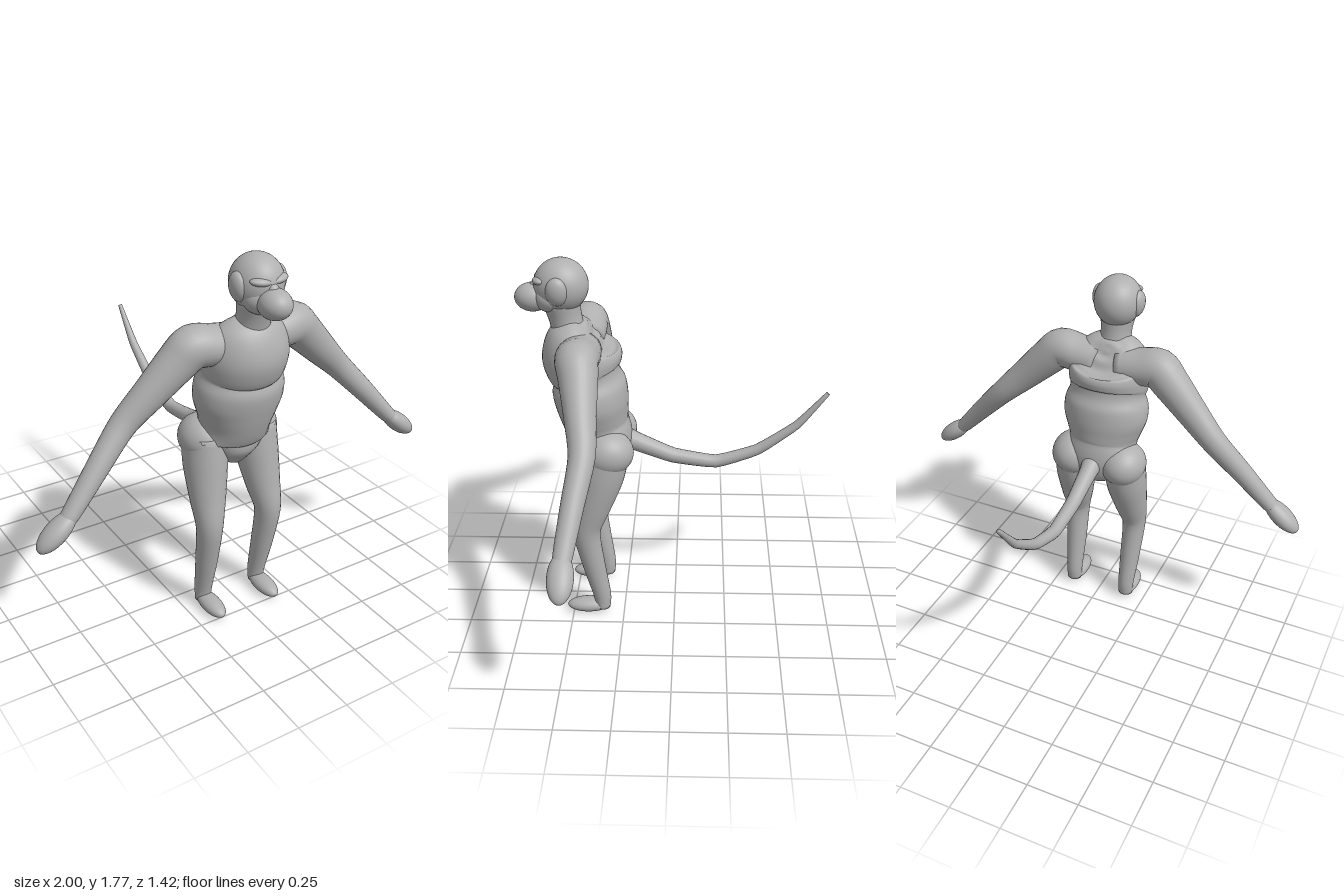
import * as THREE from 'three';

const grey = new THREE.MeshStandardMaterial({ color: 0xb0b0b0 });
grey.name = 'plain grey';

// Smooth skin through sections [x, y, z, ra, rb]; ra lies along ref, rb across it.
function loft(name, sections, ref, steps = 4, sides = 28, tension = 0.5) {
  const curve = (f) => new THREE.CatmullRomCurve3(sections.map(f), false, 'catmullrom', tension);
  const centres = curve((s) => new THREE.Vector3(s[0], s[1], s[2]));
  const radii = curve((s) => new THREE.Vector3(s[3], s[4] ?? s[3], 0));
  const rings = (sections.length - 1) * steps;
  const pos = [], index = [];
  for (let i = 0; i <= rings; i++) {
    const p = centres.getPoint(i / rings), r = radii.getPoint(i / rings);
    const t = centres.getPoint(Math.min(1, (i + 1) / rings))
      .sub(centres.getPoint(Math.max(0, (i - 1) / rings))).normalize();
    const u = ref.clone().addScaledVector(t, -ref.dot(t)).normalize();
    const v = t.clone().cross(u);
    for (let j = 0; j < sides; j++) {
      const a = (j / sides) * Math.PI * 2;
      const q = p.clone().addScaledVector(u, r.x * Math.cos(a)).addScaledVector(v, r.y * Math.sin(a));
      pos.push(q.x, q.y, q.z);
    }
  }
  for (let i = 0; i < rings; i++) {
    for (let j = 0; j < sides; j++) {
      const a = i * sides + j, b = i * sides + ((j + 1) % sides);
      index.push(a, b, b + sides, a, b + sides, a + sides);
    }
  }
  // end caps
  const first = pos.length / 3, last = rings * sides;
  pos.push(...centres.getPoint(0).toArray(), ...centres.getPoint(1).toArray());
  for (let j = 0; j < sides; j++) {
    const k = (j + 1) % sides;
    index.push(first, k, j, first + 1, last + j, last + k);
  }
  const g = new THREE.BufferGeometry();
  g.setAttribute('position', new THREE.Float32BufferAttribute(pos, 3));
  g.setIndex(index);
  g.computeVertexNormals();
  const mesh = new THREE.Mesh(g, grey);
  mesh.name = name;
  return mesh;
}

function ellipsoid(name, centre, radii, rotation = [0, 0, 0]) {
  const mesh = new THREE.Mesh(new THREE.SphereGeometry(1, 36, 24), grey);
  mesh.name = name;
  mesh.position.set(...centre);
  mesh.scale.set(...radii);
  mesh.rotation.set(...rotation);
  return mesh;
}

export function createModel() {
  const model = new THREE.Group();
  model.name = 'monkey';
  const X = new THREE.Vector3(1, 0, 0), Z = new THREE.Vector3(0, 0, 1);

  // Torso: pelvis, belly, crease under the chest, chest
  model.add(loft('torso', [
    [0, 0.75, 0.36, 0.015], [0, 0.765, 0.36, 0.06], [0, 0.82, 0.35, 0.12],
    [0, 0.90, 0.338, 0.185, 0.138], [0, 0.97, 0.362, 0.17, 0.15], [0, 1.03, 0.375, 0.187, 0.16],
    [0, 1.10, 0.385, 0.209, 0.17], [0, 1.17, 0.396, 0.207, 0.171], [0, 1.225, 0.405, 0.188, 0.153],
    [0, 1.26, 0.415, 0.195, 0.172], [0, 1.32, 0.422, 0.2, 0.182], [0, 1.38, 0.42, 0.19, 0.166],
    [0, 1.42, 0.405, 0.16, 0.13], [0, 1.443, 0.385, 0.09, 0.07], [0, 1.447, 0.38, 0.01],
  ], X, 5, 40));

  // Neck and head
  model.add(loft('neck', [
    [0, 1.36, 0.46, 0.12, 0.1], [0, 1.43, 0.475, 0.085, 0.077],
    [0, 1.5, 0.49, 0.074, 0.075], [0, 1.58, 0.505, 0.085, 0.085],
  ], X));
  model.add(ellipsoid('cranium', [0, 1.648, 0.502], [0.113, 0.122, 0.122]));
  model.add(ellipsoid('face', [0, 1.6, 0.55], [0.093, 0.075, 0.078]));
  model.add(ellipsoid('muzzle', [0, 1.592, 0.63], [0.07, 0.065, 0.082]));
  model.add(ellipsoid('nose', [0, 1.635, 0.608], [0.03, 0.04, 0.035]));

  // Tail, sagging and then curling up
  model.add(loft('tail', [
    [0, 0.91, 0.27, 0.06], [0, 0.875, 0.18, 0.044], [0, 0.805, 0.01, 0.036], [0, 0.775, -0.195, 0.031],
    [0, 0.84, -0.39, 0.026], [0, 0.972, -0.57, 0.02], [0, 1.135, -0.705, 0.01],
  ], X, 4, 18, 0.2));

  for (const s of [1, -1]) {
    const side = s > 0 ? 'left' : 'right';
    const mirror = (list) => list.map(([x, ...rest]) => [s * x, ...rest]);

    // Ears and brow
    model.add(ellipsoid(side + 'Ear', [s * 0.093, 1.645, 0.51], [0.036, 0.065, 0.05], [0, 0, -s * 0.12]));
    model.add(ellipsoid(side + 'Brow', [s * 0.042, 1.68, 0.592], [0.048, 0.018, 0.03], [0, s * 0.25, s * 0.1]));

    // Arm with shoulder, elbow and wrist
    model.add(loft(side + 'Arm', mirror([
      [0.05, 1.36, 0.41, 0.085], [0.16, 1.375, 0.42, 0.098, 0.088], [0.25, 1.385, 0.418, 0.095],
      [0.31, 1.335, 0.407, 0.087, 0.09], [0.435, 1.212, 0.39, 0.07, 0.075], [0.56, 1.09, 0.375, 0.058, 0.06],
      [0.7, 0.94, 0.405, 0.05], [0.84, 0.785, 0.435, 0.042, 0.038], [0.88, 0.75, 0.438, 0.035, 0.03],
    ]), Z, 4, 28, 0.4));
    model.add(ellipsoid(side + 'Hand', [s * 0.911, 0.724, 0.44], [0.11, 0.045, 0.056], [0, 0, -s * 0.68]));

    // Hip, leg and foot
    model.add(ellipsoid(side + 'Hip', [s * 0.13, 0.885, 0.312], [0.112, 0.108, 0.124]));
    model.add(loft(side + 'Leg', mirror([
      [0.132, 0.9, 0.32, 0.1, 0.115], [0.138, 0.76, 0.345, 0.099, 0.108], [0.15, 0.6, 0.388, 0.081, 0.084],
      [0.16, 0.47, 0.42, 0.06, 0.066], [0.156, 0.27, 0.39, 0.051, 0.054],
      [0.152, 0.1, 0.357, 0.041, 0.043], [0.152, 0.03, 0.355, 0.038, 0.036],
    ]), X, 4, 28, 0.4));
    model.add(ellipsoid(side + 'Foot', [s * 0.15, 0.039, 0.424], [0.047, 0.036, 0.106], [0.03, 0, 0]));
  }
  return model;
}
